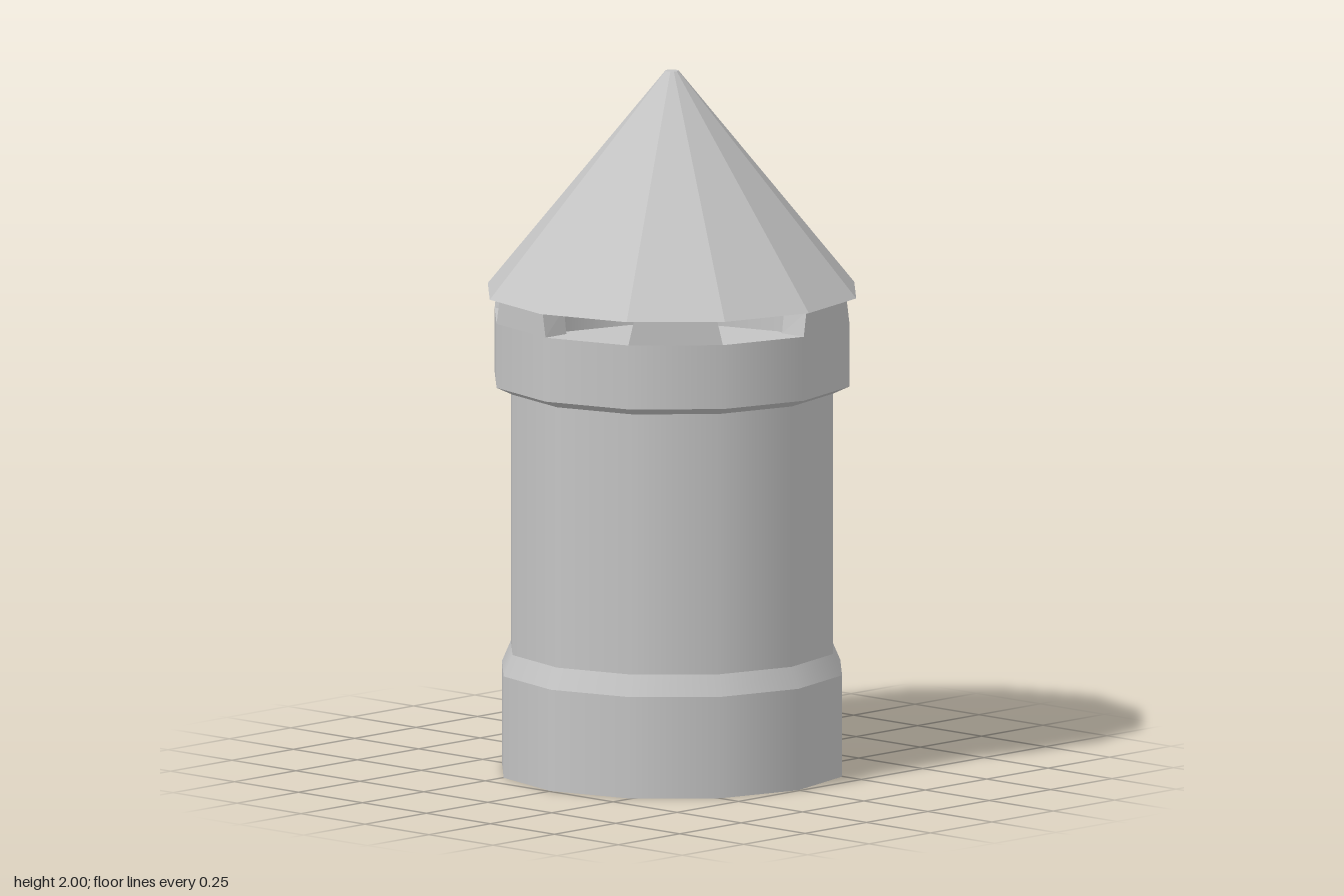
import * as THREE from 'three';

const SIDES = 12;
const STEP = (Math.PI * 2) / SIDES;
const R_OUT = 0.515, R_IN = 0.43;
const RIM_Y = 1.3, ROOF_Y = 1.37;

// Point at an angle measured from +z towards +x
const polar = (r, a, y) => new THREE.Vector3(r * Math.sin(a), y, r * Math.cos(a));

// Flat-shaded block over one side of the ring, narrowing slightly upwards
function merlonGeometry(a) {
  const corners = (y, inset) => [R_OUT, R_IN].flatMap((r) => {
    const p = polar(r, a, y), q = polar(r, a + STEP, y);
    return [p.clone().lerp(q, inset), q.clone().lerp(p, inset)];
  });
  // 0,1 outer and 2,3 inner at the bottom; 4,5 outer and 6,7 inner at the top
  const v = [...corners(RIM_Y, 0), ...corners(ROOF_Y, 0.06)];
  const quads = [[0, 1, 5, 4], [3, 2, 6, 7], [2, 0, 4, 6], [1, 3, 7, 5], [4, 5, 7, 6]];
  const points = quads.flatMap(([i, j, k, l]) => [i, j, k, i, k, l].map((n) => v[n]));
  const geometry = new THREE.BufferGeometry().setFromPoints(points);
  geometry.computeVertexNormals();
  return geometry;
}

export function createModel() {
  const model = new THREE.Group();
  model.name = 'tower';
  const stone = new THREE.MeshStandardMaterial({ color: 0xc4c4c4, side: THREE.DoubleSide });
  stone.name = 'grey stone';

  const add = (name, geometry, parent = model) => {
    const mesh = new THREE.Mesh(geometry, stone);
    mesh.name = name;
    parent.add(mesh);
    return mesh;
  };
  // Open band of wall between two heights
  const band = (name, y0, r0, y1, r1) => {
    const g = new THREE.CylinderGeometry(r1, r0, y1 - y0, SIDES, 1, true);
    add(name, g.translate(0, (y0 + y1) / 2, 0));
  };

  // Hollow walls, open at the bottom
  band('baseWall', 0, 0.494, 0.29, 0.494);
  band('baseSlope', 0.29, 0.494, 0.35, 0.468);
  band('shaft', 0.35, 0.468, 1.095, 0.468);
  band('parapetFlare', 1.095, 0.468, 1.117, R_OUT);
  band('parapetWall', 1.117, R_OUT, RIM_Y, R_OUT);
  band('parapetInnerWall', 1.2, R_IN, RIM_Y, R_IN);

  // Rim and deck behind the parapet; first corner lies on the same angles
  const rim = new THREE.RingGeometry(R_IN, R_OUT, SIDES).rotateX(-Math.PI / 2);
  add('parapetRim', rim.translate(0, RIM_Y, 0));
  const deck = new THREE.CircleGeometry(R_IN, SIDES).rotateX(-Math.PI / 2);
  add('deck', deck.translate(0, 1.2, 0));

  // Merlons on every second side
  const merlons = new THREE.Group();
  merlons.name = 'merlons';
  model.add(merlons);
  for (let i = 1; i < SIDES; i += 2) add('merlon', merlonGeometry(i * STEP), merlons);

  // Faceted roof with a small flat tip
  const roof = new THREE.CylinderGeometry(0.019, 0.535, 2 - ROOF_Y, SIDES).toNonIndexed();
  roof.computeVertexNormals();
  add('roof', roof.translate(0, (2 + ROOF_Y) / 2, 0));

  return model;
}
